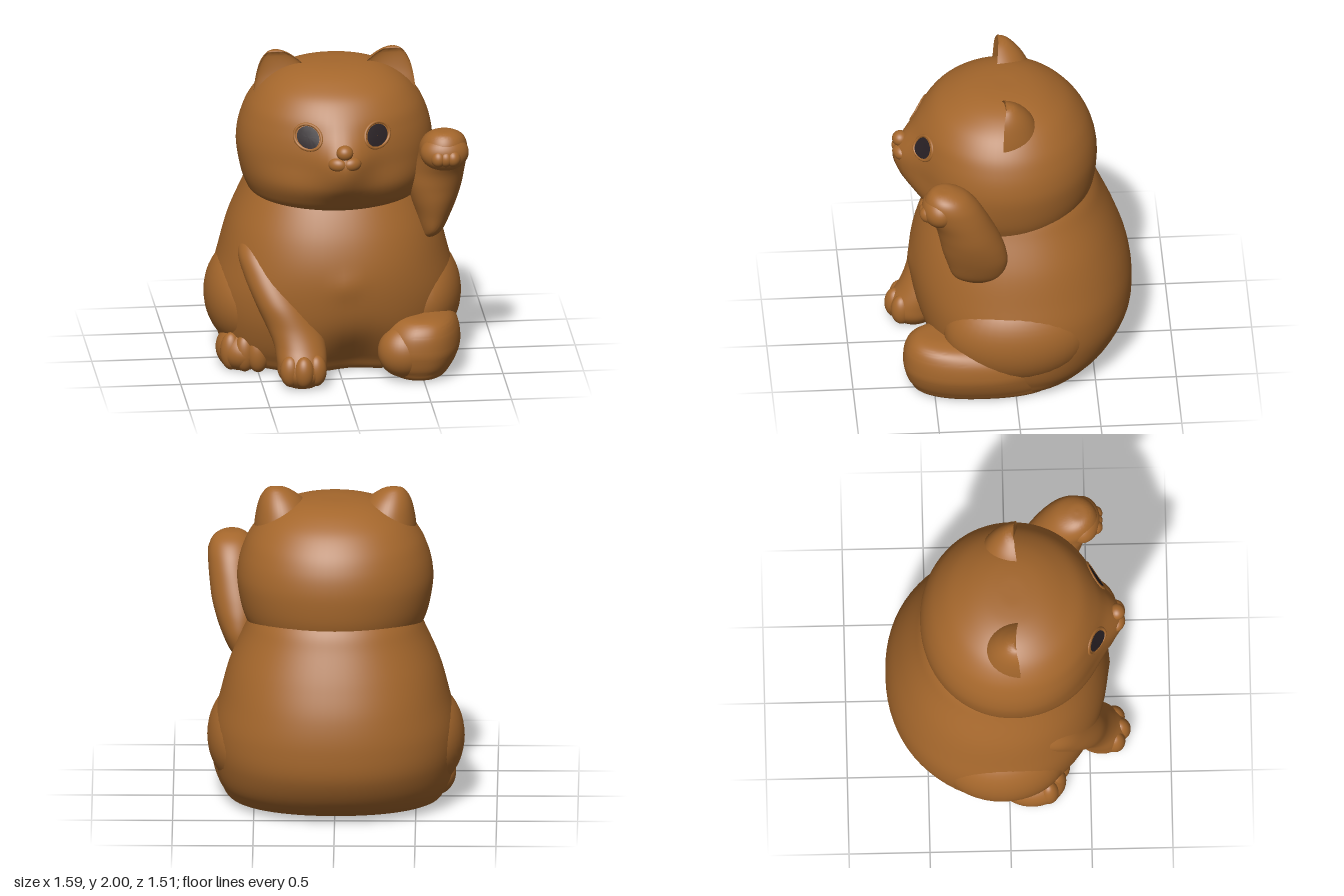
import * as THREE from 'three';
import { toCreasedNormals } from 'three/addons/utils/BufferGeometryUtils.js';

const clay = new THREE.MeshStandardMaterial({ color: 0xa5672c });
clay.name = 'clay brown';
const pupil = new THREE.MeshStandardMaterial({ color: 0x2a2226 });
pupil.name = 'eye black';

function add(group, name, geometry, material = clay) {
  const mesh = new THREE.Mesh(geometry, material);
  mesh.name = name;
  group.add(mesh);
  return mesh;
}

const signedPow = (v, e) => Math.sign(v) * Math.abs(v) ** e;

// Smooth loft upwards through sections [y, halfWidth, frontDepth, backDepth, centreX, centreZ];
// power 2 gives oval sections, more makes them squarer
function loft(sections, { rows = 64, cols = 72, power = 2, warp, crease = 0.7 } = {}) {
  const spline = (pick) => new THREE.CatmullRomCurve3(
    sections.map((s) => new THREE.Vector3(...pick(s))), false, 'catmullrom', 0.5);
  const outline = spline(([y, w, , , cx]) => [w, y, cx]);
  const depth = spline(([, , f, b, , cz]) => [f, b, cz]);
  const pos = [], index = [], p = new THREE.Vector3();
  for (let j = 0; j <= rows; j++) {
    const s = outline.getPoint(j / rows), d = depth.getPoint(j / rows);
    for (let i = 0; i < cols; i++) {
      const a = (i / cols) * Math.PI * 2;
      const cos = signedPow(Math.cos(a), 2 / power), sin = signedPow(Math.sin(a), 2 / power);
      p.set(s.z + Math.max(s.x, 0) * cos, Math.max(s.y, 0), d.z + sin * (sin > 0 ? d.x : d.y));
      if (warp && sin > 0) warp(p);
      pos.push(p.x, p.y, p.z);
      if (j < rows) {
        const k = j * cols + i, n = j * cols + (i + 1) % cols;
        index.push(k, k + cols, n, n, k + cols, n + cols);
      }
    }
  }
  const g = new THREE.BufferGeometry();
  g.setAttribute('position', new THREE.Float32BufferAttribute(pos, 3));
  g.setIndex(index);
  return toCreasedNormals(g, crease);
}

// Sections sharing one centre line
const centred = (cz, list) => list.map(([y, w, f, b]) => [y, w, f, b, 0, cz]);

// Sections given by their limits [y, x0, x1, z0, z1]
const spans = (list) => list.map(([y, x0, x1, z0, z1]) =>
  [y, (x1 - x0) / 2, (z1 - z0) / 2, (z1 - z0) / 2, (x0 + x1) / 2, (z0 + z1) / 2]);

// Ellipsoid, flattened where it meets the ground
function blob(group, name, [x, y, z], [rx, ry, rz], turn = 0) {
  const g = new THREE.SphereGeometry(1, 40, 28).scale(rx, ry, rz).rotateY(turn).translate(x, y, z);
  const p = g.attributes.position;
  for (let i = 0; i < p.count; i++) p.setY(i, Math.max(p.getY(i), 0));
  return add(group, name, g);
}

const bump = (x, y, w, h) => Math.exp(-((x / w) ** 2) - (y / h) ** 2);

export function createModel() {
  const cat = new THREE.Group();
  cat.name = 'beckoningCat';

  // Pear-shaped body with a faint navel and a hollow between the feet
  add(cat, 'body', loft(centred(-0.05, [
    [0, 0, 0, 0], [0, 0.56, 0.42, 0.34], [0.1, 0.69, 0.53, 0.55], [0.3, 0.745, 0.62, 0.68],
    [0.5, 0.75, 0.66, 0.705], [0.7, 0.705, 0.665, 0.68], [0.9, 0.65, 0.62, 0.615],
    [1.1, 0.565, 0.53, 0.53], [1.22, 0.51, 0.45, 0.475], [1.35, 0.42, 0.36, 0.38],
  ]), {
    power: 2.12,
    warp: (p) => {
      p.z += 0.014 * bump(p.x - 0.02, p.y - 0.63, 0.08, 0.08);
      if (p.z > 0.1) p.z -= 0.3 * (p.z - 0.1) * bump(p.x - 0.08, p.y, 0.18, 0.24);
    },
  }));

  // Head with the muzzle swelling forwards
  const head = add(cat, 'head', loft(centred(0.03, [
    [1.05, 0, 0, 0], [1.06, 0.4, 0.35, 0.36], [1.1, 0.51, 0.46, 0.46], [1.17, 0.555, 0.525, 0.52],
    [1.27, 0.585, 0.572, 0.556], [1.4, 0.605, 0.56, 0.57], [1.5, 0.6, 0.555, 0.565],
    [1.6, 0.575, 0.54, 0.54], [1.7, 0.53, 0.51, 0.49], [1.8, 0.45, 0.435, 0.405],
    [1.87, 0.35, 0.32, 0.3], [1.91, 0.24, 0.21, 0.2], [1.927, 0.12, 0.1, 0.1], [1.93, 0, 0, 0],
  ]), {
    rows: 78, power: 2.05,
    warp: (p) => { p.z += 0.135 * bump(p.x, p.y - 1.43, 0.17, 0.18); },
  }));

  const ray = new THREE.Raycaster(), forward = new THREE.Vector3(0, 0, -1);
  const faceZ = (x, y) => {
    ray.set(new THREE.Vector3(x, y, 2), forward);
    return ray.intersectObject(head)[0].point.z;
  };

  for (const side of [-1, 1]) {
    const tag = side > 0 ? 'left' : 'right';

    // Ear: rounded behind, slightly hollow in front
    const ear = [
      [1.65, 0.1, 0.5, 0, 0.25, 0.07], [1.75, 0.13, 0.5, 0, 0.24, 0.07],
      [1.85, 0.155, 0.485, -0.02, 0.2, 0.065], [1.92, 0.205, 0.465, -0.025, 0.15, 0.06],
      [1.97, 0.27, 0.435, -0.015, 0.09, 0.05], [1.993, 0.32, 0.405, 0, 0.05, 0.045],
      [2, 0.365, 0.367, 0, 0.005, 0.03],
    ].map(([y, a, b, f, back, cz]) => [y, (b - a) / 2, f, back, side * (a + b) / 2, cz]);
    add(cat, tag + 'Ear', loft(ear, { rows: 30, cols: 40, crease: 0.9 }));

    // Eye: dark disc laid on the face inside a raised rim
    const ex = side * 0.215, ey = 1.598;
    const disc = new THREE.RingGeometry(0.001, 0.066, 36, 4).translate(ex, ey, 0);
    const p = disc.attributes.position;
    for (let i = 0; i < p.count; i++) p.setZ(i, faceZ(p.getX(i), p.getY(i)) + 0.005);
    disc.computeVertexNormals();
    add(cat, tag + 'Eye', disc, pupil);
    const rim = [];
    for (let i = 0; i < 20; i++) {
      const a = (i / 20) * Math.PI * 2;
      const x = ex + 0.08 * Math.cos(a), y = ey + 0.075 * Math.sin(a);
      rim.push(new THREE.Vector3(x, y, faceZ(x, y) - 0.002));
    }
    add(cat, tag + 'EyeRim',
      new THREE.TubeGeometry(new THREE.CatmullRomCurve3(rim, true), 60, 0.01, 10, true));

    // Upper lip
    blob(cat, tag + 'Lip', [side * 0.045, 1.458, 0.68], [0.06, 0.045, 0.043], side * 0.4);
  }
  blob(cat, 'nose', [0, 1.53, 0.675], [0.052, 0.048, 0.05]);
  blob(cat, 'lowerLip', [0, 1.415, 0.69], [0.045, 0.035, 0.028]);

  // Haunches
  blob(cat, 'leftHaunch', [0.5, 0.41, -0.02], [0.29, 0.34, 0.46]);
  blob(cat, 'rightHaunch', [-0.51, 0.41, -0.04], [0.29, 0.345, 0.4]);

  // Raised left arm with a curled paw
  add(cat, 'raisedArm', loft(spans([
    [0.82, 0.56, 0.58, 0.2, 0.22], [0.85, 0.51, 0.62, 0.11, 0.33], [0.9, 0.5, 0.66, 0.07, 0.39],
    [1, 0.475, 0.705, 0.05, 0.425], [1.1, 0.45, 0.74, 0.065, 0.455], [1.2, 0.44, 0.765, 0.1, 0.475],
    [1.3, 0.46, 0.778, 0.145, 0.5], [1.4, 0.485, 0.787, 0.195, 0.55], [1.48, 0.495, 0.785, 0.245, 0.57],
    [1.54, 0.525, 0.76, 0.305, 0.55], [1.575, 0.575, 0.705, 0.38, 0.51], [1.583, 0.64, 0.642, 0.44, 0.442],
  ]), { crease: 1 }));
  blob(cat, 'raisedPaw', [0.64, 1.445, 0.47], [0.15, 0.115, 0.115]);
  for (const x of [0.595, 0.64, 0.685])
    blob(cat, 'raisedToe', [x, 1.43, 0.545], [0.048, 0.055, 0.055]);

  // Lowered right arm with its paw on the ground
  add(cat, 'loweredArm', loft(spans([
    [0, -0.26, -0.25, 0.58, 0.59], [0, -0.34, -0.17, 0.48, 0.67], [0.07, -0.4, -0.11, 0.42, 0.73],
    [0.15, -0.41, -0.1, 0.4, 0.725], [0.25, -0.425, -0.105, 0.37, 0.665], [0.35, -0.465, -0.135, 0.32, 0.62],
    [0.5, -0.535, -0.21, 0.24, 0.575], [0.65, -0.595, -0.28, 0.15, 0.49], [0.78, -0.62, -0.36, 0.08, 0.39],
    [0.9, -0.57, -0.44, 0.06, 0.25], [0.95, -0.5, -0.49, 0.1, 0.12],
  ]), { crease: 1 }));
  for (const [x, z] of [[-0.335, 0.655], [-0.255, 0.69], [-0.175, 0.655]])
    blob(cat, 'loweredToe', [x, 0.115, z], [0.064, 0.1, 0.065]);

  // Right foot tucked beside the arm
  blob(cat, 'rightFoot', [-0.585, 0.11, 0.14], [0.16, 0.145, 0.21]);
  for (const [x, z] of [[-0.66, 0.24], [-0.58, 0.285], [-0.5, 0.31]])
    blob(cat, 'rightToe', [x, 0.12, z], [0.068, 0.12, 0.065]);

  // Left foot stretched forwards
  add(cat, 'leftFoot', loft(spans([
    [0, 0.47, 0.48, 0.2, 0.22], [0, 0.31, 0.65, -0.2, 0.57], [0.06, 0.25, 0.71, -0.25, 0.65],
    [0.15, 0.212, 0.75, -0.25, 0.683], [0.22, 0.207, 0.757, -0.25, 0.688], [0.3, 0.235, 0.74, -0.2, 0.675],
    [0.36, 0.3, 0.69, 0, 0.635], [0.388, 0.38, 0.6, 0.2, 0.57], [0.393, 0.48, 0.5, 0.4, 0.42],
  ]), { crease: 1, power: 2.3 }));
  blob(cat, 'leftToes', [0.385, 0.18, 0.53], [0.165, 0.165, 0.15]);

  return cat;
}
